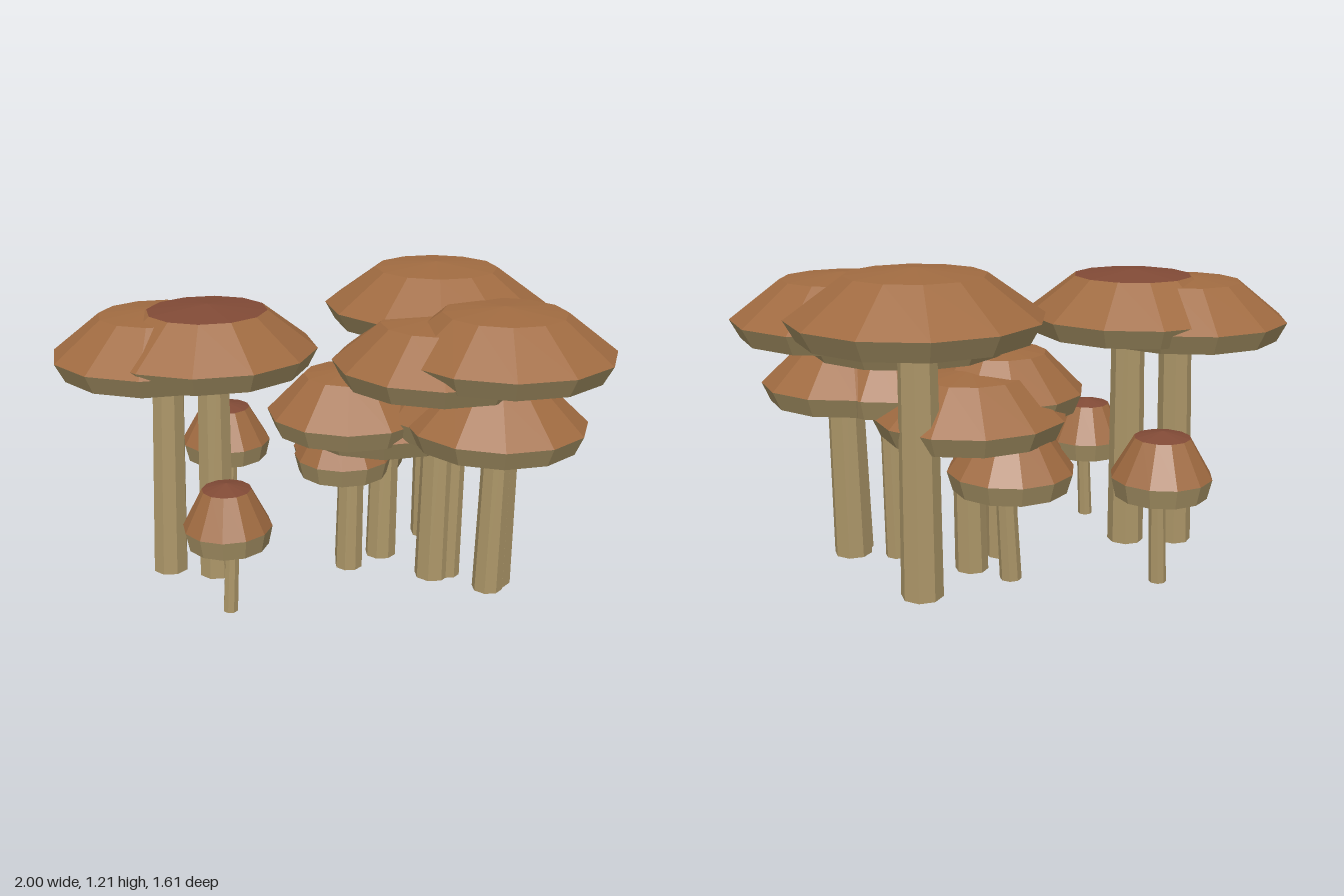
import * as THREE from 'three';

const SIDES = 12;

function material(color) {
  return new THREE.MeshStandardMaterial({ color, flatShading: true, side: THREE.DoubleSide });
}

const capMat = material(0xa06b41);
const crownMat = material(0x814a36);
const rimMat = material(0xa28e62);
const stemMat = material(0xac9668);

// Faceted ring between two radius/height pairs, open at both ends
function band(name, r0, y0, r1, y1, mat) {
  const profile = [new THREE.Vector2(r0, y0), new THREE.Vector2(r1, y1)];
  const mesh = new THREE.Mesh(new THREE.LatheGeometry(profile, SIDES), mat);
  mesh.name = name;
  return mesh;
}

// x, z: cap centre; y: lower edge of the rim; r: widest radius; lean: sideways shift of the stem top
function mushroom({ x, z, y, r, lean = 0.02, red = false }) {
  const group = new THREE.Group();
  group.name = 'mushroom';
  group.position.set(x, 0, z);

  // Hollow cap: in-turned rim, sloping side and shallow crown
  const cap = new THREE.Group();
  cap.name = 'cap';
  cap.position.y = y;
  cap.add(
    band('rim', r * 0.91, 0, r, 0.073, rimMat),
    band('capSide', r, 0.073, r * 0.55, 0.22, capMat),
    band('crown', r * 0.55, 0.22, 0, 0.243, red ? crownMat : capMat),
  );

  // Leaning, tapering stem with its foot flat on the ground
  const height = y + 0.215;
  const stemGeo = new THREE.CylinderGeometry(r * 0.15, r * 0.175, height, 8);
  stemGeo.translate(0, height / 2, 0);
  stemGeo.applyMatrix4(new THREE.Matrix4().makeShear(0, 0, lean / height, 0, 0, 0));
  const stem = new THREE.Mesh(stemGeo, stemMat);
  stem.name = 'stem';

  group.add(cap, stem);
  return group;
}

export function createModel() {
  const model = new THREE.Group();
  model.name = 'mushroomCluster';

  const layout = [
    // right-hand cluster, large caps
    { x: 0.54, z: -0.145, y: 0.97, r: 0.455, lean: 0 },
    { x: 0.51, z: 0.37, y: 0.895, r: 0.43 },
    { x: 0.33, z: 0.205, y: 0.84, r: 0.41 },
    // right-hand cluster, lower caps
    { x: 0.46, z: 0.41, y: 0.633, r: 0.35, red: true },
    { x: 0.39, z: 0.23, y: 0.63, r: 0.275 },
    // middle caps
    { x: 0.07, z: -0.03, y: 0.615, r: 0.325 },
    { x: 0.245, z: -0.065, y: 0.555, r: 0.37 },
    { x: 0.19, z: -0.235, y: 0.367, r: 0.24, lean: 0.04 },
    { x: 0.09, z: -0.115, y: 0.39, r: 0.2 },
    // left-hand pair
    { x: -0.59, z: -0.36, y: 0.862, r: 0.41, lean: 0.04 },
    { x: -0.435, z: -0.235, y: 0.885, r: 0.42, red: true },
    // small young ones
    { x: -0.515, z: 0.088, y: 0.285, r: 0.168, lean: 0.03, red: true },
    { x: -0.217, z: -0.615, y: 0.35, r: 0.19, lean: 0.03, red: true },
  ];
  for (const entry of layout) model.add(mushroom(entry));

  return model;
}
